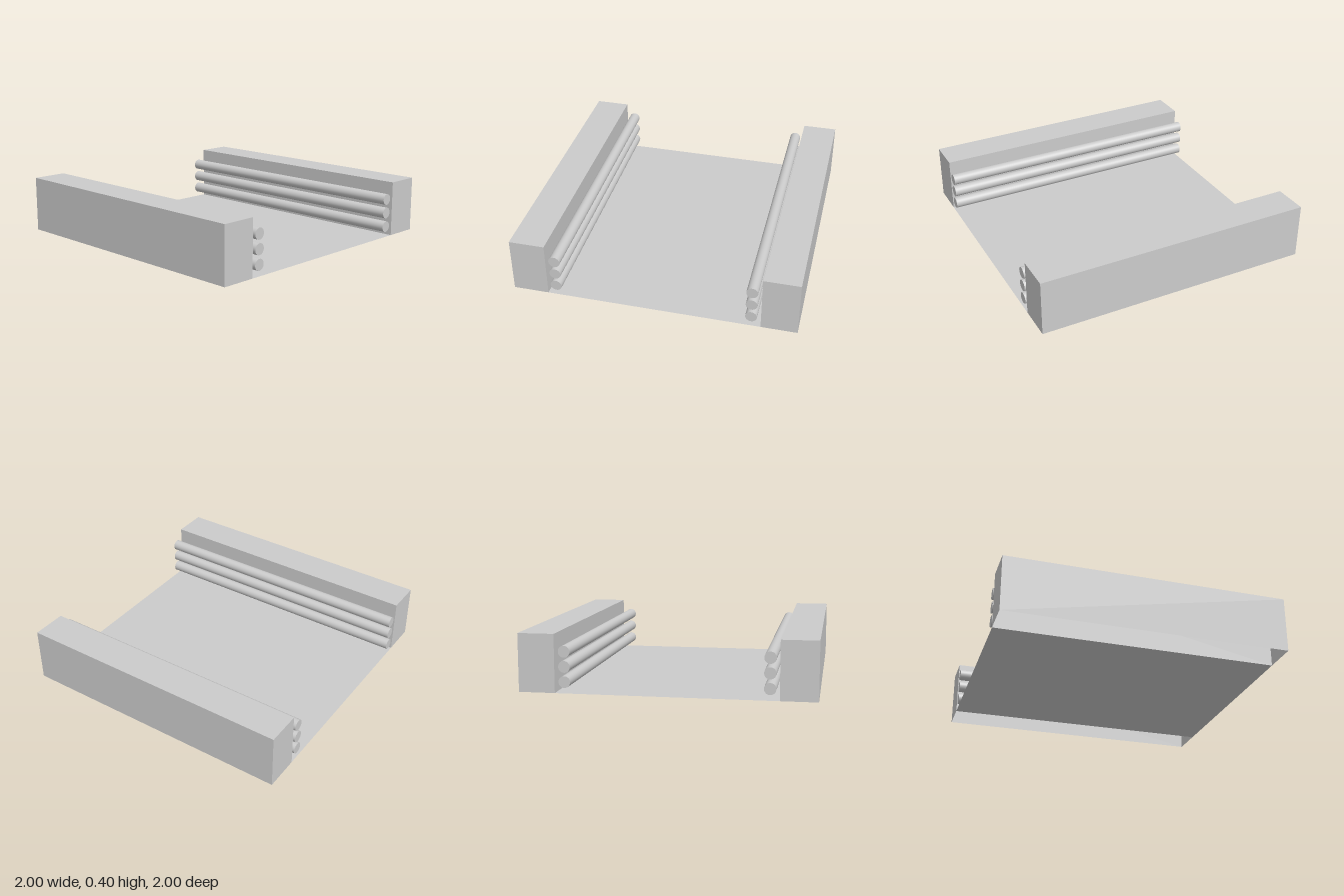
import * as THREE from 'three';

export function createModel() {
  const model = new THREE.Group();
  const solid = new THREE.MeshStandardMaterial({ color: 0xcccccc });
  const thin = new THREE.MeshStandardMaterial({ color: 0xcccccc, side: THREE.DoubleSide });

  const LENGTH = 2, HEIGHT = 0.4, BEAM_WIDTH = 0.25;

  const add = (name, geometry, material, x, y, z = 0) => {
    const mesh = new THREE.Mesh(geometry, material);
    mesh.name = name;
    mesh.position.set(x, y, z);
    model.add(mesh);
  };

  // Floor sheet between the two walls
  const floor = new THREE.PlaneGeometry(2 - 2 * BEAM_WIDTH, LENGTH).rotateX(-Math.PI / 2);
  add('floor', floor, thin, 0, 0);

  // Hollow wall, open underneath: drop the bottom face of a box
  const wall = new THREE.BoxGeometry(BEAM_WIDTH, HEIGHT, LENGTH);
  const faces = Array.from(wall.index.array);
  faces.splice(18, 6);
  wall.setIndex(faces);
  wall.clearGroups();

  // Round rail running the full length
  const rail = new THREE.CylinderGeometry(0.04, 0.04, LENGTH, 32).rotateX(Math.PI / 2);
  const railHeights = [0.077, 0.18, 0.282];

  for (const [side, sign, railX] of [['left', 1, 0.683], ['right', -1, -0.687]]) {
    add(side + 'Wall', wall, thin, sign * (1 - BEAM_WIDTH / 2), HEIGHT / 2);
    railHeights.forEach((y, i) => add(side + 'Rail' + (i + 1), rail, solid, railX, y));
  }

  return model;
}
